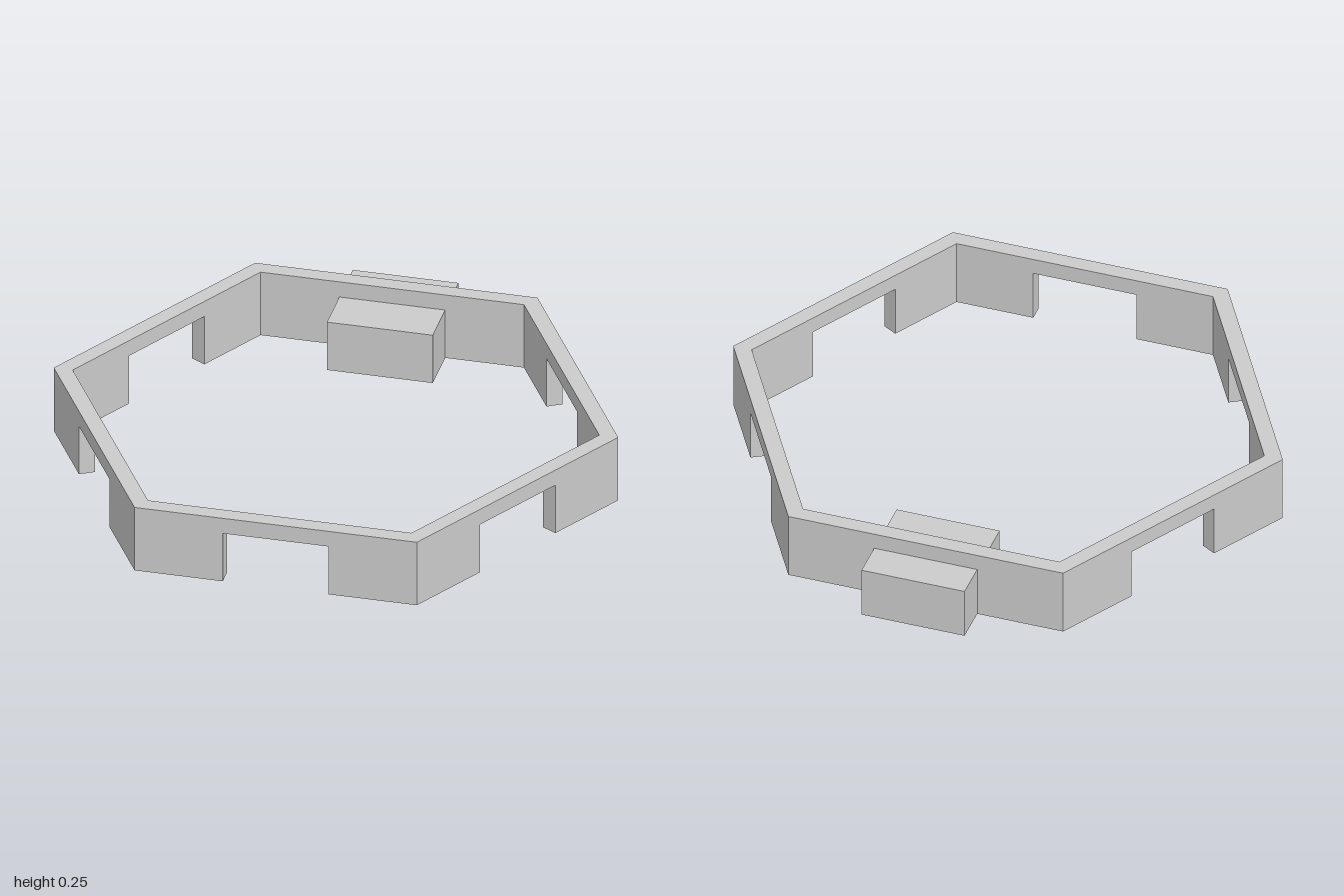
import * as THREE from 'three';

const SIDE = 1;            // hexagon side = circumradius
const HEIGHT = 0.25;
const THICK = 0.058;
const OPEN_HALF = 0.1875;  // half width of each wall opening
const OPEN_TOP = 0.19;
const APOTHEM = SIDE * Math.sqrt(3) / 2;
const CENTRE_Z = 0.067;

// One wall with a doorway, mitred so that six of them close into a ring
function wallGeometry() {
  const h = SIDE / 2;
  const shape = new THREE.Shape([
    [-h, 0], [-OPEN_HALF, 0], [-OPEN_HALF, OPEN_TOP], [OPEN_HALF, OPEN_TOP],
    [OPEN_HALF, 0], [h, 0], [h, HEIGHT], [-h, HEIGHT],
  ].map(([x, y]) => new THREE.Vector2(x, y)));
  const solid = new THREE.ExtrudeGeometry(shape, { depth: THICK, bevelEnabled: false });
  const src = solid.attributes.position;

  // Drop the end caps, which would lie hidden inside the corners
  const kept = [];
  for (let i = 0; i < src.count; i += 3) {
    const ids = [i, i + 1, i + 2];
    if (ids.every((k) => src.getX(k) > h - 1e-4) || ids.every((k) => src.getX(k) < -h + 1e-4)) continue;
    for (const k of ids) {
      let x = src.getX(k);
      const z = src.getZ(k);
      // Shorten the inner face for the 60 degree corner
      if (Math.abs(x) > h - 1e-4 && z < THICK / 2) x -= Math.sign(x) * THICK / Math.sqrt(3);
      kept.push(x, src.getY(k), z + APOTHEM - THICK);
    }
  }
  const geo = new THREE.BufferGeometry();
  geo.setAttribute('position', new THREE.Float32BufferAttribute(kept, 3));
  geo.computeVertexNormals();
  return geo;
}

export function createModel() {
  const model = new THREE.Group();
  model.name = 'hexagonalFrame';
  const material = new THREE.MeshStandardMaterial({ color: 0xcccccc, flatShading: true });

  // Six walls around the ring
  const ring = new THREE.Group();
  ring.name = 'wallRing';
  ring.position.z = CENTRE_Z;
  const wall = wallGeometry();
  for (let i = 0; i < 6; i++) {
    const mesh = new THREE.Mesh(wall, material);
    mesh.name = `wall${i + 1}`;
    mesh.rotation.y = i * Math.PI / 3;
    ring.add(mesh);
  }
  model.add(ring);

  // Block plugging the back opening
  const block = new THREE.Mesh(new THREE.BoxGeometry(OPEN_HALF * 2, OPEN_TOP, 0.37), material);
  block.name = 'plugBlock';
  block.position.set(0, OPEN_TOP / 2, -0.748);
  model.add(block);

  return model;
}
